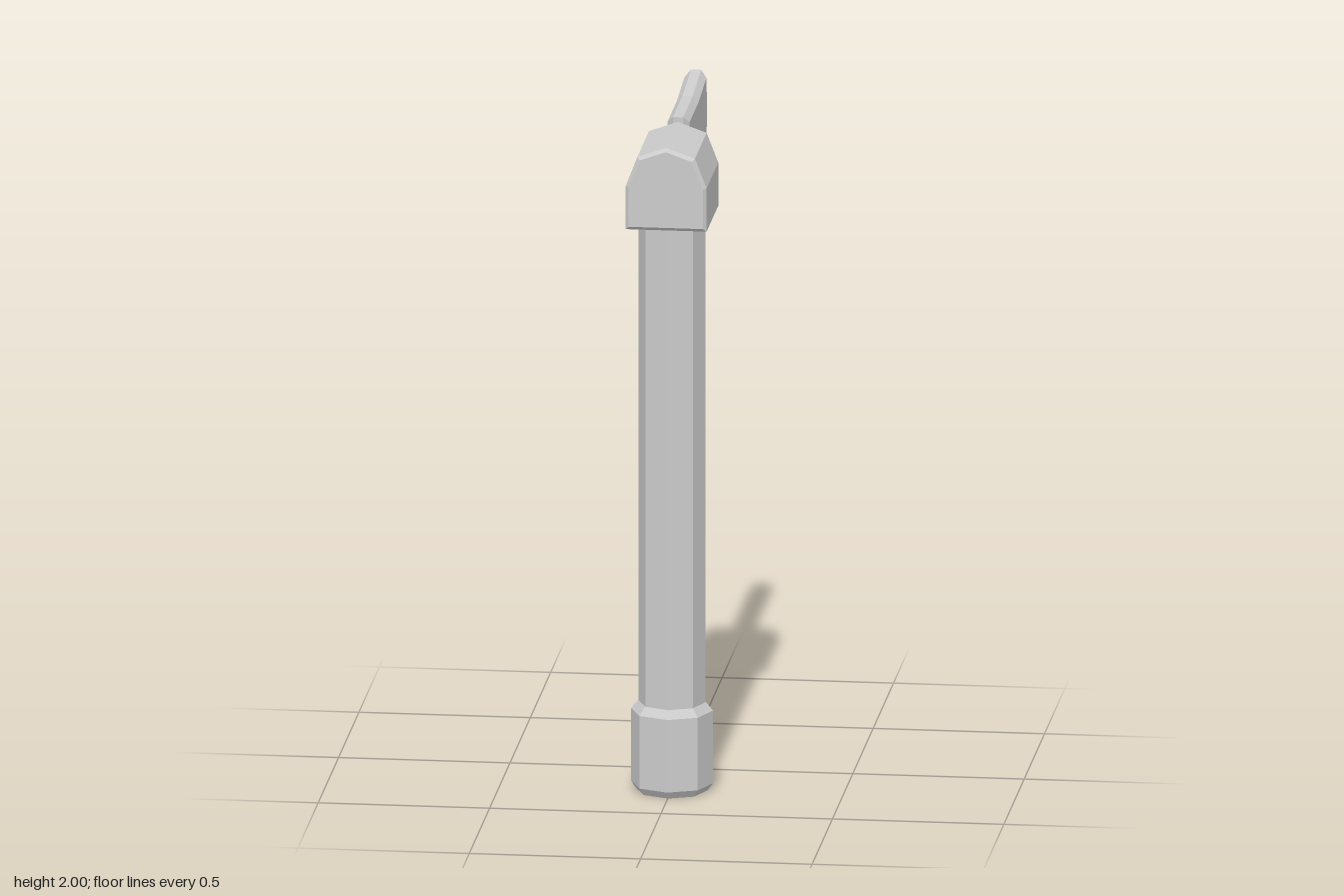
import * as THREE from 'three';

const steel = new THREE.MeshStandardMaterial({ color: 0xcccccc });
steel.name = 'light grey';

// Mesh with one normal per face
function facetedMesh(name, geometry) {
  const flat = geometry.index ? geometry.toNonIndexed() : geometry;
  flat.computeVertexNormals();
  const mesh = new THREE.Mesh(flat, steel);
  mesh.name = name;
  return mesh;
}

// Eight-sided turned part from [radius, y] pairs, bottom to top
function octagonalLathe(name, profile) {
  const points = profile.map(([r, y]) => new THREE.Vector2(r, y));
  return facetedMesh(name, new THREE.LatheGeometry(points, 8));
}

// Extrusion with chamfers that stay inside the given outline and total depth
function chamferedPlate(points, depth, thickness, inset) {
  const shape = new THREE.Shape(points.map(([x, y]) => new THREE.Vector2(x, y)));
  const geometry = new THREE.ExtrudeGeometry(shape, {
    depth: depth - 2 * thickness,
    bevelEnabled: true,
    bevelThickness: thickness,
    bevelSize: inset,
    bevelOffset: -inset,
    bevelSegments: 1,
  });
  return geometry.translate(0, 0, thickness - depth / 2);
}

export function createModel() {
  const axe = new THREE.Group();
  axe.name = 'axe';
  const shaftZ = 0.23;

  // Shaft and the chamfered pommel at its foot
  const handle = octagonalLathe('handle', [[0, 0.25], [0.098, 0.25], [0.098, 1.73], [0, 1.73]]);
  const pommel = octagonalLathe('pommel', [
    [0, 0], [0.104, 0], [0.12, 0.022], [0.12, 0.24], [0.1, 0.264], [0, 0.264],
  ]);
  handle.position.z = pommel.position.z = shaftZ;

  // Domed block that holds the blade
  const headProfile = [
    [-0.118, 1.717], [0.118, 1.717], [0.118, 1.847], [0.084, 1.935],
    [0, 1.965], [-0.084, 1.935], [-0.118, 1.847],
  ];
  const head = facetedMesh('headBlock', chamferedPlate(headProfile, 0.306, 0.01, 0.01));
  head.position.z = shaftZ;

  // Blade outline as [distance backwards, height]
  const bladeOutline = [
    [-0.083, 1.76], [0.008, 1.68], [0.05, 1.61], [0.104, 1.494], [0.145, 1.494],
    [0.215, 1.537], [0.277, 1.597], [0.322, 1.664], [0.355, 1.75], [0.378, 1.857],
    [0.373, 1.93], [0.362, 2.0], [0.15, 1.978], [-0.083, 1.978],
  ];
  const bladeGeometry = chamferedPlate(bladeOutline, 0.064, 0.017, 0.018);
  const blade = facetedMesh('blade', bladeGeometry.rotateY(Math.PI / 2));

  axe.add(handle, pommel, head, blade);
  return axe;
}
